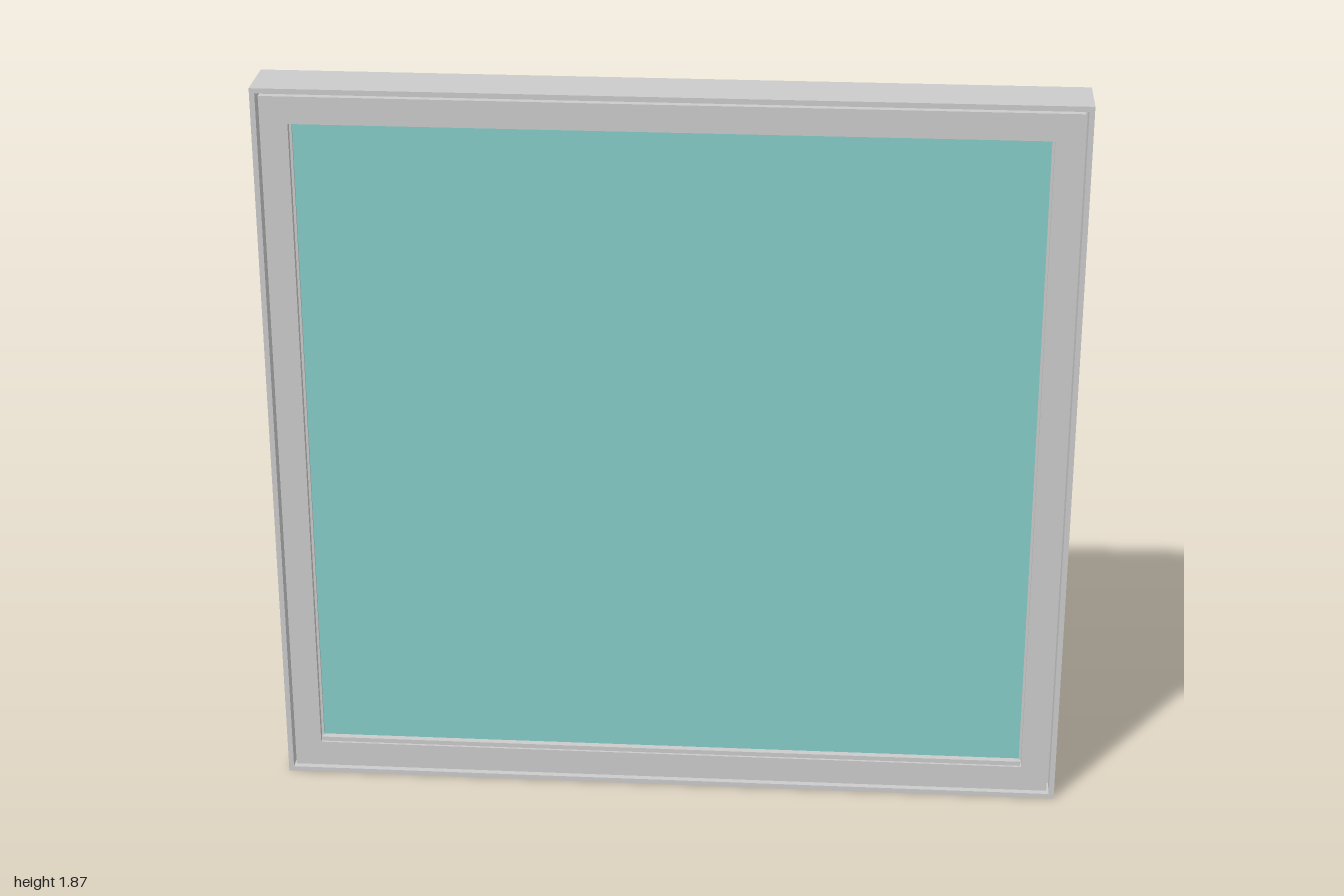
import * as THREE from 'three';

const W = 2, H = 1.87;
const grey = new THREE.MeshStandardMaterial({ color: 0xcccccc, flatShading: true });
const glassMaterial = new THREE.MeshStandardMaterial({ color: 0x84ccc9 });

// Traces the window outline, moved inwards by an inset
function outline(path, inset) {
  const x = W / 2 - inset, y0 = inset, y1 = H - inset;
  path.moveTo(-x, y0);
  path.lineTo(x, y0);
  path.lineTo(x, y1);
  path.lineTo(-x, y1);
  path.closePath();
  return path;
}

// Rectangular ring between two insets, from zBack to zFront
function ring(name, outer, inner, zBack, zFront) {
  const shape = outline(new THREE.Shape(), outer);
  shape.holes.push(outline(new THREE.Path(), inner));
  const geometry = new THREE.ExtrudeGeometry(shape, { depth: zFront - zBack, bevelEnabled: false });
  geometry.translate(0, 0, zBack);
  const mesh = new THREE.Mesh(geometry, grey);
  mesh.name = name;
  return mesh;
}

export function createModel() {
  const model = new THREE.Group();
  model.name = 'window';

  // Fixed outer frame: thin front lip, wider rear lip and stepped rebates
  const frame = new THREE.Group();
  frame.name = 'outerFrame';
  frame.add(
    ring('frontLip', 0, 0.013, 0.02, 0.075),
    ring('rearLip', 0, 0.038, -0.075, -0.045),
    ring('middleStep', 0, 0.055, -0.045, -0.01),
    ring('innerStep', 0, 0.068, -0.01, 0.02),
  );

  // Sash set in the front of the frame, with a narrow gap around it
  const sash = new THREE.Group();
  sash.name = 'sash';
  sash.add(
    ring('sashFrame', 0.02, 0.088, 0.02, 0.071),
    ring('glazingBead', 0.08, 0.094, 0.03, 0.054),
  );

  // Low sill bead along the bottom of the glass
  const sill = new THREE.Mesh(new THREE.BoxGeometry(1.82, 0.02, 0.022), grey);
  sill.name = 'sillBead';
  sill.position.set(0, 0.09, 0.054);
  sash.add(sill);

  // Glass pane
  const glass = new THREE.Mesh(new THREE.BoxGeometry(W - 0.18, H - 0.18, 0.008), glassMaterial);
  glass.name = 'glass';
  glass.position.set(0, H / 2, 0.044);

  model.add(frame, sash, glass);
  return model;
}
